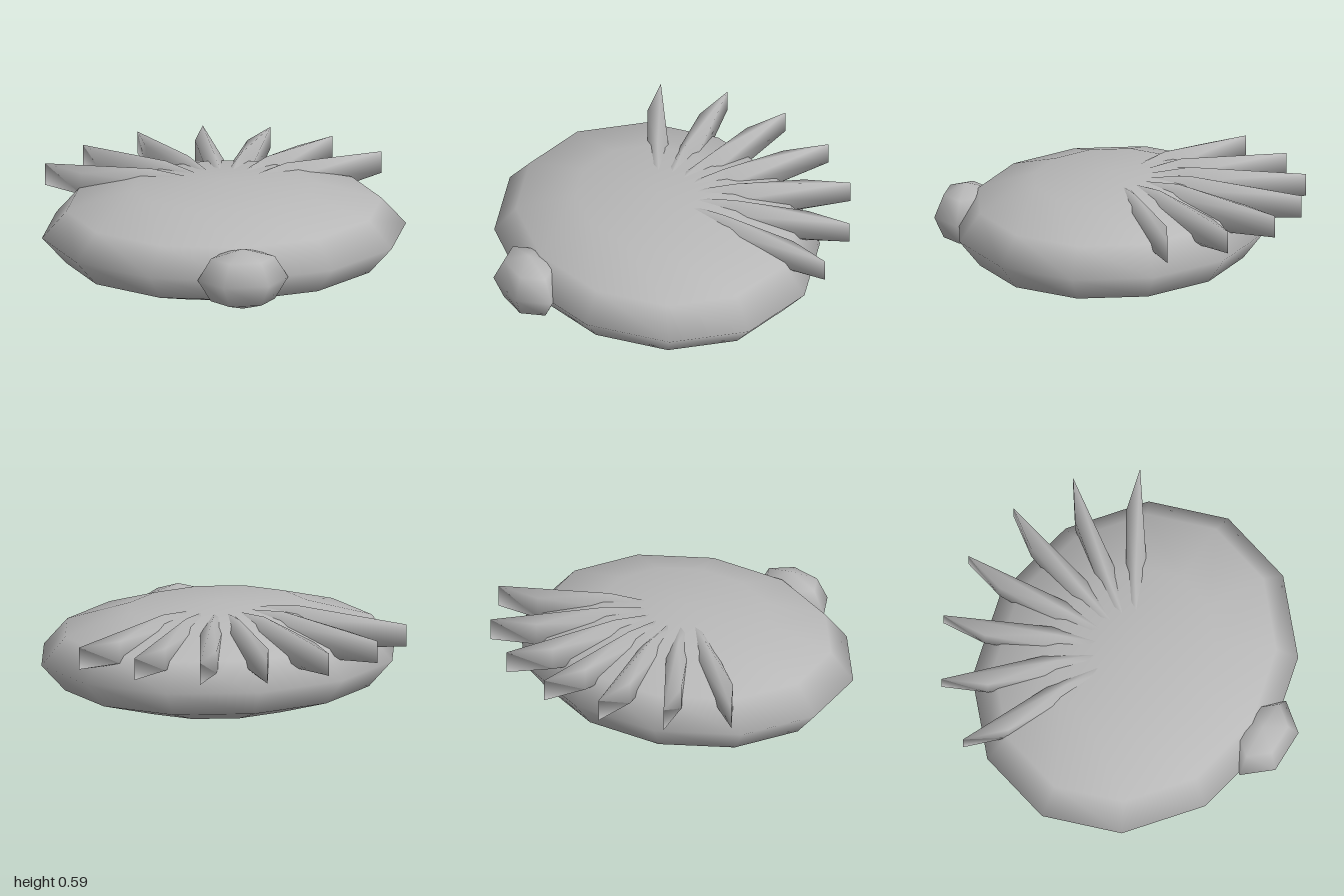
import * as THREE from 'three';

const grey = new THREE.MeshStandardMaterial({ color: 0xb8b8b8 });
grey.name = 'grey';

// Smooth-shaded low-poly ellipsoid with vertical poles
function ellipsoid(name, segments, rings, rx, ry, rz) {
  const geometry = new THREE.SphereGeometry(1, segments, rings);
  geometry.scale(rx, ry, rz);
  const mesh = new THREE.Mesh(geometry, grey);
  mesh.name = name;
  return mesh;
}

export function createModel() {
  const model = new THREE.Group();
  model.name = 'spinyCreature';

  // Flattened round body
  const body = ellipsoid('body', 12, 6, 0.985, 0.295, 0.837);
  body.position.set(0, 0.3, 0.055);
  model.add(body);

  // Small head at the front
  const head = ellipsoid('head', 6, 4, 0.245, 0.17, 0.173);
  head.position.set(0, 0.3, 0.85);
  model.add(head);

  // Seven long spines fanned over the back, 20 degrees apart
  const spines = new THREE.Group();
  spines.name = 'spines';
  spines.position.set(0, 0.4725, 0.052);
  for (let i = -3; i <= 3; i++) {
    const pivot = new THREE.Group();
    pivot.name = 'spinePivot';
    pivot.rotation.y = THREE.MathUtils.degToRad(-20 * i);
    const spine = ellipsoid('spine', 5, 3, 0.075, 0.122, 0.76);
    spine.rotation.y = Math.PI;
    spine.position.z = -0.422;
    pivot.add(spine);
    spines.add(pivot);
  }
  model.add(spines);

  return model;
}
